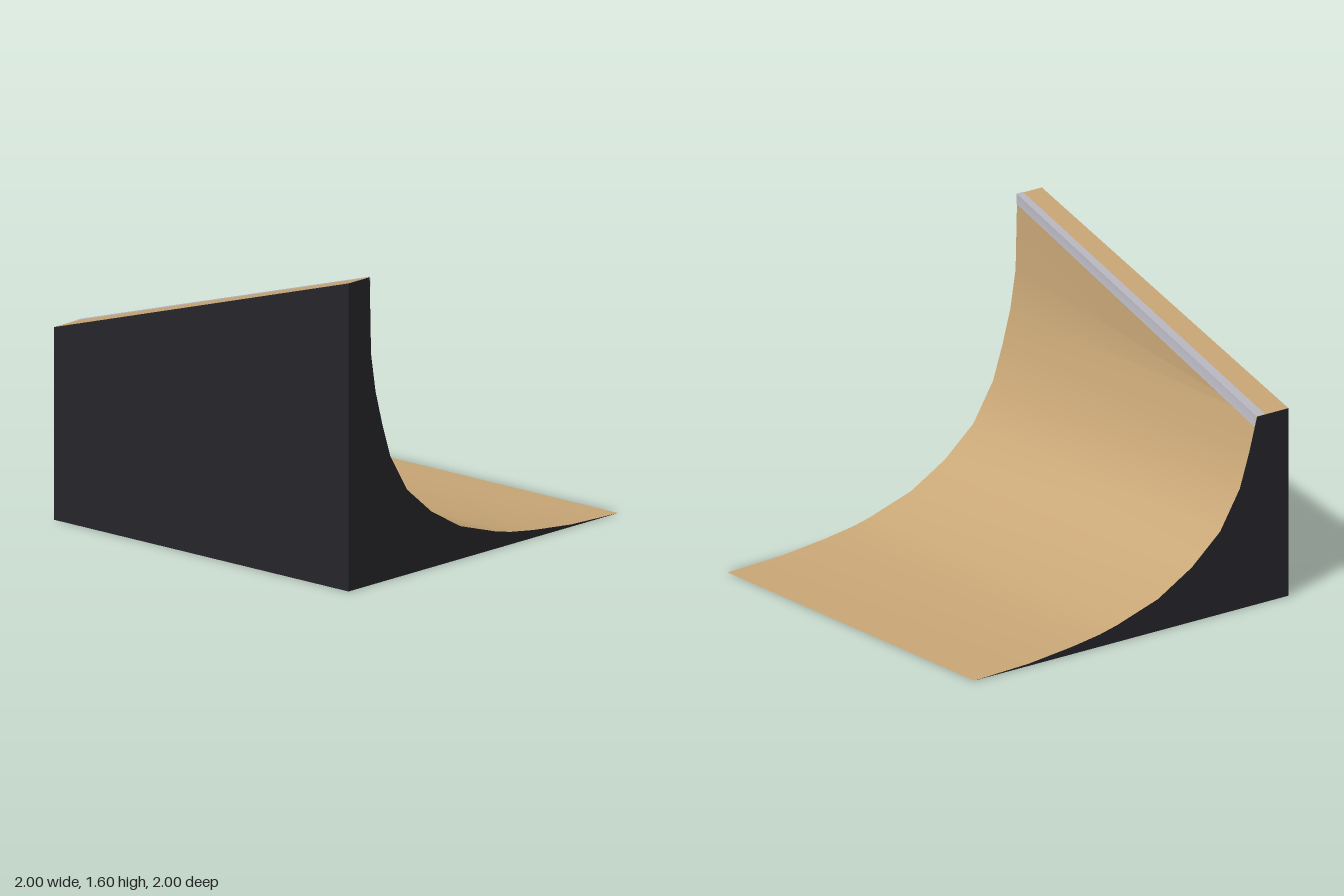
import * as THREE from 'three';

const paint = (color) => new THREE.MeshStandardMaterial({ color, side: THREE.DoubleSide });

// Curve of the ramp as [z, y], from the floor up to the lower lip
const curve = [
  [-1, 0], [-0.9, 0.003], [-0.65, 0.012], [-0.37, 0.04], [-0.2, 0.065], [-0.09, 0.09],
  [0.17, 0.17], [0.385, 0.29], [0.565, 0.44], [0.69, 0.64], [0.75, 0.82], [0.8, 1],
];
// The low side ends at the lip; the tall side carries on up
const lowLip = [0.8, 1];
const tallLip = [0.843, 1.6];
const lowCurve = [...curve, lowLip, lowLip];
const tallCurve = [...curve, [0.833, 1.2], tallLip];

// Ruled surface between a row at x = -1 and a row at x = +1
function ruled(low, tall) {
  const positions = [];
  const index = [];
  low.forEach(([z, y], i) => {
    positions.push(-1, y, z, 1, tall[i][1], tall[i][0]);
    if (i < low.length - 1) {
      const a = 2 * i;
      index.push(a, a + 2, a + 1, a + 1, a + 2, a + 3);
    }
  });
  const geometry = new THREE.BufferGeometry();
  geometry.setAttribute('position', new THREE.Float32BufferAttribute(positions, 3));
  geometry.setIndex(index);
  geometry.computeVertexNormals();
  return geometry;
}

// Flat side panel filling the profile, facing outward along x
function sidePanel(profile, side) {
  const outline = [...profile, [1, profile.at(-1)[1]], [1, 0]];
  const shape = new THREE.Shape(outline.map(([z, y]) => new THREE.Vector2(-side * z, y)));
  return new THREE.ShapeGeometry(shape).rotateY(side * Math.PI / 2).translate(side, 0, 0);
}

export function createModel() {
  const group = new THREE.Group();
  const wood = paint(0xc8a676);
  const dark = paint(0x26252b);
  const metal = paint(0xb8b6c0);

  const add = (name, geometry, material) => {
    const mesh = new THREE.Mesh(geometry, material);
    mesh.name = name;
    group.add(mesh);
  };

  // Riding surface and sloping top deck
  add('rampSurface', ruled(lowCurve, tallCurve), wood);
  add('topDeck', ruled([lowLip, [1, 1]], [tallLip, [1, 1.6]]), wood);

  // Walls; the underside stays open
  add('frontWall', ruled([[1, 1], [1, 0]], [[1, 1.6], [1, 0]]), dark);
  add('rightSide', sidePanel(curve, -1), dark);
  add('leftSide', sidePanel(tallCurve, 1), dark);

  // Thin metal edging folded over the lip
  add('lipEdgeFace', ruled([[0.783, 0.95], [0.796, 1.003]], [[0.838, 1.55], [0.839, 1.603]]), metal);
  add('lipEdgeTop', ruled([[0.796, 1.003], [0.85, 1.003]], [[0.839, 1.603], [0.88, 1.603]]), metal);

  return group;
}
